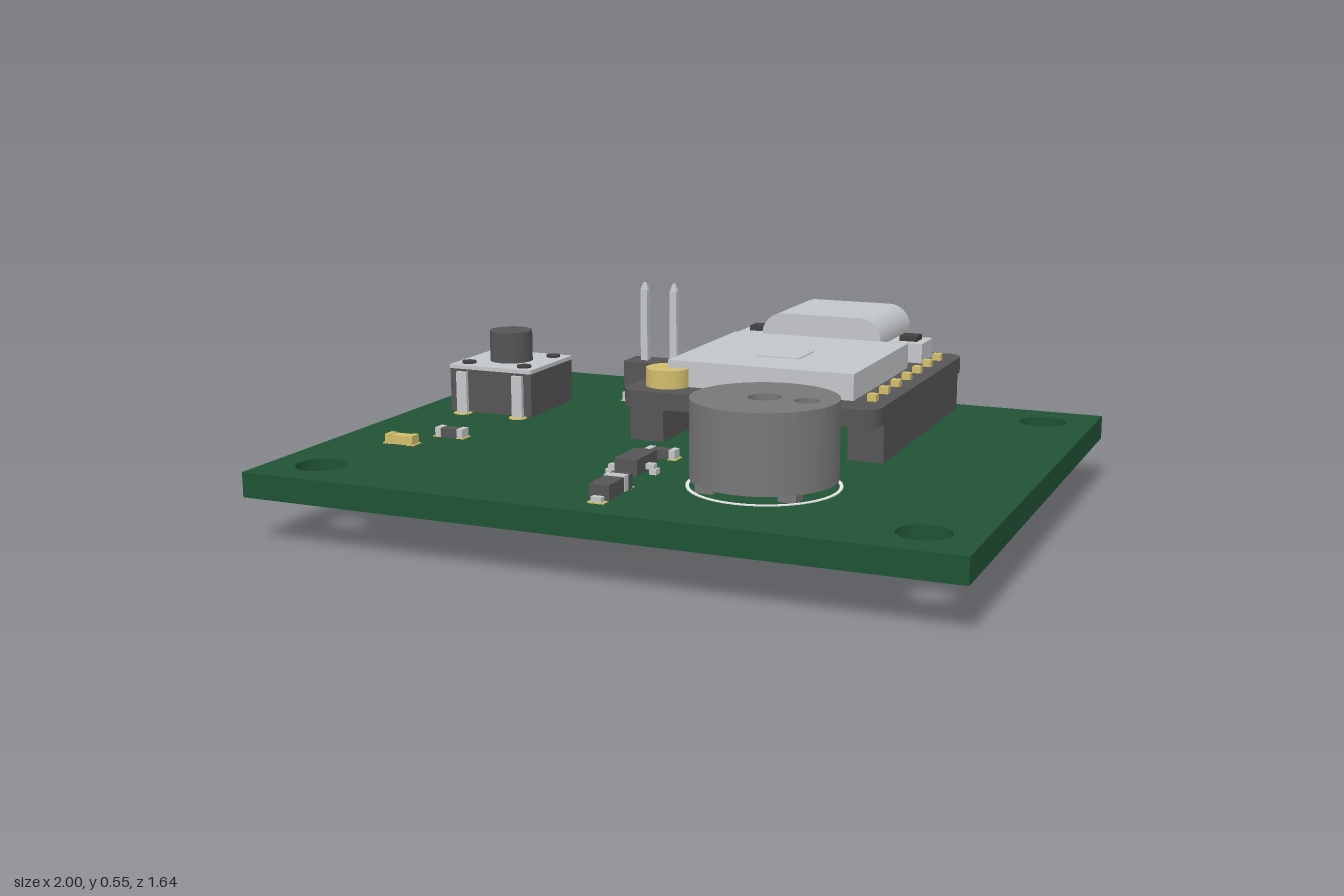
import * as THREE from 'three';

const mat = (name, color) => {
  const m = new THREE.MeshStandardMaterial({ color });
  m.name = name;
  return m;
};

export function createModel() {
  const green = mat('board green', 0x205236);
  const dark = mat('dark plastic', 0x555557);
  const black = mat('recess dark', 0x404042);
  const grey = mat('buzzer grey', 0x777777);
  const silver = mat('metal', 0xc3c6c9);
  const gold = mat('gold', 0xd2bc6c);
  const white = mat('silkscreen white', 0xf0f0f0);

  const root = new THREE.Group();
  const TOP = 0.2, DECK = 0.36; // upper faces of the main board and the module

  const group = (name) => {
    const g = new THREE.Group();
    g.name = name;
    root.add(g);
    return g;
  };
  const add = (parent, name, geo, material) => {
    const m = new THREE.Mesh(geo, material);
    m.name = name;
    parent.add(m);
    return m;
  };
  // Box given by its centre in plan, its footprint and its lower and upper heights
  const box = (p, name, x, z, w, d, y0, y1, m) =>
    add(p, name, new THREE.BoxGeometry(w, y1 - y0, d).translate(x, (y0 + y1) / 2, z), m);
  const cyl = (p, name, x, z, r, y0, y1, m, sides = 32) =>
    add(p, name, new THREE.CylinderGeometry(r, r, y1 - y0, sides).translate(x, (y0 + y1) / 2, z), m);
  const roundRect = (x0, y0, x1, y1, r) => {
    const s = new THREE.Shape();
    s.absarc(x1 - r, y0 + r, r, -Math.PI / 2, 0);
    s.absarc(x1 - r, y1 - r, r, 0, Math.PI / 2);
    s.absarc(x0 + r, y1 - r, r, Math.PI / 2, Math.PI);
    s.absarc(x0 + r, y0 + r, r, Math.PI, Math.PI * 1.5);
    s.closePath();
    return s;
  };
  const disc = (x, z, r) => new THREE.Shape().absarc(x, -z, r, 0, Math.PI * 2);
  const extrude = (shape, depth) =>
    new THREE.ExtrudeGeometry(shape, { depth, bevelEnabled: false, curveSegments: 20 });
  // Horizontal plate: the shape's y axis points to -z
  const plate = (p, name, shape, y0, y1, m) =>
    add(p, name, extrude(shape, y1 - y0).rotateX(-Math.PI / 2).translate(0, y0, 0), m);

  // Main board with four mounting holes
  const board = new THREE.Shape([[-1, -0.82], [1, -0.82], [1, 0.78], [-1, 0.78]]
    .map(([x, y]) => new THREE.Vector2(x, y)));
  for (const x of [-0.85, 0.85]) for (const z of [-0.63, 0.67]) board.holes.push(disc(x, z, 0.07));
  plate(root, 'mainBoard', board, 0.13, TOP, green);

  // Controller module on two socket strips
  const module = group('controllerModule');
  plate(module, 'moduleBoard', roundRect(-0.205, -0.13, 0.56, 0.78, 0.05), 0.31, DECK, dark);
  for (const x of [-0.152, 0.508]) {
    box(module, 'socketStrip', x, -0.325, 0.104, 0.77, TOP, 0.31, dark);
    for (let i = 0; i < 7; i++) {
      const z = -0.66 + i * 0.11;
      box(module, 'pinTop', x, z, 0.026, 0.026, DECK, 0.38, gold);
      box(module, 'solderPad', x, z + 0.03, 0.05, 0.014, 0.127, 0.131, gold);
    }
  }
  box(module, 'shieldCan', 0.18, -0.237, 0.56, 0.525, DECK, 0.435, silver);
  box(module, 'shieldRaisedPanel', 0.18, -0.19, 0.13, 0.13, 0.434, 0.438, silver);
  cyl(module, 'antennaSocket', -0.1, 0.02, 0.065, DECK, 0.413, gold);
  for (const x of [-0.07, 0.425]) {
    box(module, 'smallButtonBody', x, -0.645, 0.108, 0.122, DECK, 0.42, silver);
    box(module, 'smallButtonCap', x, -0.645, 0.055, 0.058, 0.42, 0.436, black);
  }

  // Connector: closed rear block, hollow shell, dark core and contact tongue
  const port = group('portConnector');
  const shell = roundRect(-0.015, DECK, 0.37, 0.5, 0.069);
  add(port, 'portRear', extrude(shell, 0.1).translate(0, 0, -0.61), silver);
  const rim = roundRect(-0.015, DECK, 0.37, 0.5, 0.069);
  rim.holes.push(roundRect(0.006, DECK + 0.021, 0.349, 0.479, 0.048));
  add(port, 'portShell', extrude(rim, 0.215).translate(0, 0, -0.825), silver);
  add(port, 'portCore', extrude(roundRect(0.006, DECK + 0.021, 0.349, 0.479, 0.048), 0.2)
    .translate(0, 0, -0.81), black);
  box(port, 'portTongue', 0.178, -0.76, 0.26, 0.126, 0.417, 0.443, gold);

  // Buzzer
  const buzzer = group('buzzer');
  const bx = 0.345, bz = 0.41;
  const outline = disc(bx, bz, 0.206);
  outline.holes.push(disc(bx, bz, 0.197));
  plate(buzzer, 'buzzerOutline', outline, TOP, 0.203, white);
  cyl(buzzer, 'buzzerBody', bx, bz, 0.196, 0.222, 0.405, grey, 48);
  const lid = disc(bx, bz, 0.196);
  lid.holes.push(disc(bx, bz, 0.045), disc(0.46, bz, 0.034));
  plate(buzzer, 'buzzerLid', lid, 0.405, 0.436, grey);
  for (let i = 0; i < 4; i++) {
    const a = Math.PI / 4 + i * Math.PI / 2;
    box(buzzer, 'buzzerFoot', bx + 0.16 * Math.cos(a), bz + 0.16 * Math.sin(a), 0.05, 0.05, TOP, 0.225, grey);
  }
  for (const x of [bx - 0.11, bx + 0.11]) {
    cyl(buzzer, 'buzzerPin', x, bz, 0.012, 0, 0.225, silver, 12);
    cyl(buzzer, 'buzzerPad', x, bz, 0.028, 0.127, 0.131, gold, 20);
  }

  // Push button
  const button = group('pushButton');
  const px = -0.735, pz = -0.2;
  box(button, 'buttonBody', px, pz, 0.28, 0.272, 0.205, 0.338, dark);
  box(button, 'buttonPlate', px, pz, 0.282, 0.278, 0.338, 0.35, silver);
  cyl(button, 'buttonPlunger', px, pz, 0.066, 0.35, 0.445, dark);
  for (const sx of [-1, 1]) for (const sz of [-1, 1]) {
    const x = px + sx * 0.096;
    cyl(button, 'buttonRivet', x, pz + sz * 0.096, 0.022, 0.35, 0.357, black, 20);
    cyl(button, 'buttonPad', x, pz + sz * 0.142, 0.028, TOP, 0.203, gold, 20);
    box(button, 'buttonLeg', x, pz + sz * 0.142, 0.035, 0.014, TOP, 0.33, silver);
    box(button, 'buttonSolder', x, pz + sz * 0.142, 0.045, 0.014, 0.127, 0.131, gold);
  }

  // Two-pin header with tapered pin ends
  const header = group('pinHeader');
  plate(header, 'headerBody', roundRect(-0.552, 0.625, -0.335, 0.73, 0.008), TOP, 0.285, dark);
  for (const x of [-0.495, -0.39]) {
    box(header, 'headerPin', x, -0.68, 0.024, 0.024, 0.115, 0.52, silver);
    for (const [y, top, bottom] of [[0.5325, 0.006, 0.017], [0.1025, 0.017, 0.006]]) {
      add(header, 'headerPinTip', new THREE.CylinderGeometry(top, bottom, 0.025, 4)
        .rotateY(Math.PI / 4).translate(x, y, -0.68), silver);
    }
    cyl(header, 'headerPad', x, -0.68, 0.026, 0.127, 0.131, gold, 20);
  }

  // Small surface-mount parts: body, metal end caps and gold pads
  const chip = (name, x, z, turned, bodyMat, capMat) => {
    const g = group(name);
    box(g, 'chipBody', 0, 0, 0.056, 0.034, TOP, 0.226, bodyMat);
    for (const s of [-1, 1]) {
      box(g, 'chipCap', s * 0.036, 0, 0.018, 0.037, TOP, 0.228, capMat);
      box(g, 'chipPad', s * 0.038, 0, 0.026, 0.042, TOP, 0.203, gold);
    }
    g.position.set(x, 0, z);
    if (turned) g.rotation.y = Math.PI / 2;
  };
  chip('resistor', -0.437, -0.46, true, dark, silver);
  chip('resistor', -0.308, -0.46, true, dark, silver);
  chip('resistor', -0.697, 0.235, false, dark, silver);
  chip('resistor', -0.025, 0.235, false, dark, silver);
  chip('indicatorLight', -0.785, 0.365, false, gold, gold);

  // Transistor with three bent legs
  const transistor = group('transistor');
  box(transistor, 'transistorBody', -0.025, 0.407, 0.066, 0.13, 0.206, 0.25, dark);
  for (const [x, z] of [[-0.068, 0.365], [-0.068, 0.448], [0.018, 0.407]]) {
    box(transistor, 'transistorLeg', x, z, 0.03, 0.02, 0.213, 0.228, silver);
    box(transistor, 'transistorFoot', x + Math.sign(x) * 0.012, z, 0.02, 0.028, TOP, 0.215, silver);
  }

  // Diode with polarity band
  const diode = group('diode');
  box(diode, 'diodeBody', 0.018, 0.65, 0.056, 0.14, 0.204, 0.245, dark);
  box(diode, 'diodeBand', 0.018, 0.62, 0.059, 0.024, 0.206, 0.248, silver);
  for (const z of [0.572, 0.728]) {
    box(diode, 'diodePad', 0.018, z, 0.046, 0.03, TOP, 0.203, gold);
    box(diode, 'diodeLead', 0.018, z, 0.03, 0.02, TOP, 0.216, silver);
  }

  // Tiny bare contacts beside the resistors
  for (const [x, z] of [[-0.29, -0.585], [-0.37, -0.39], [-0.275, -0.38], [-0.245, -0.375], [-0.25, -0.332]]) {
    box(root, 'testContact', x, z, 0.018, 0.014, TOP, 0.203, gold);
  }
  return root;
}
